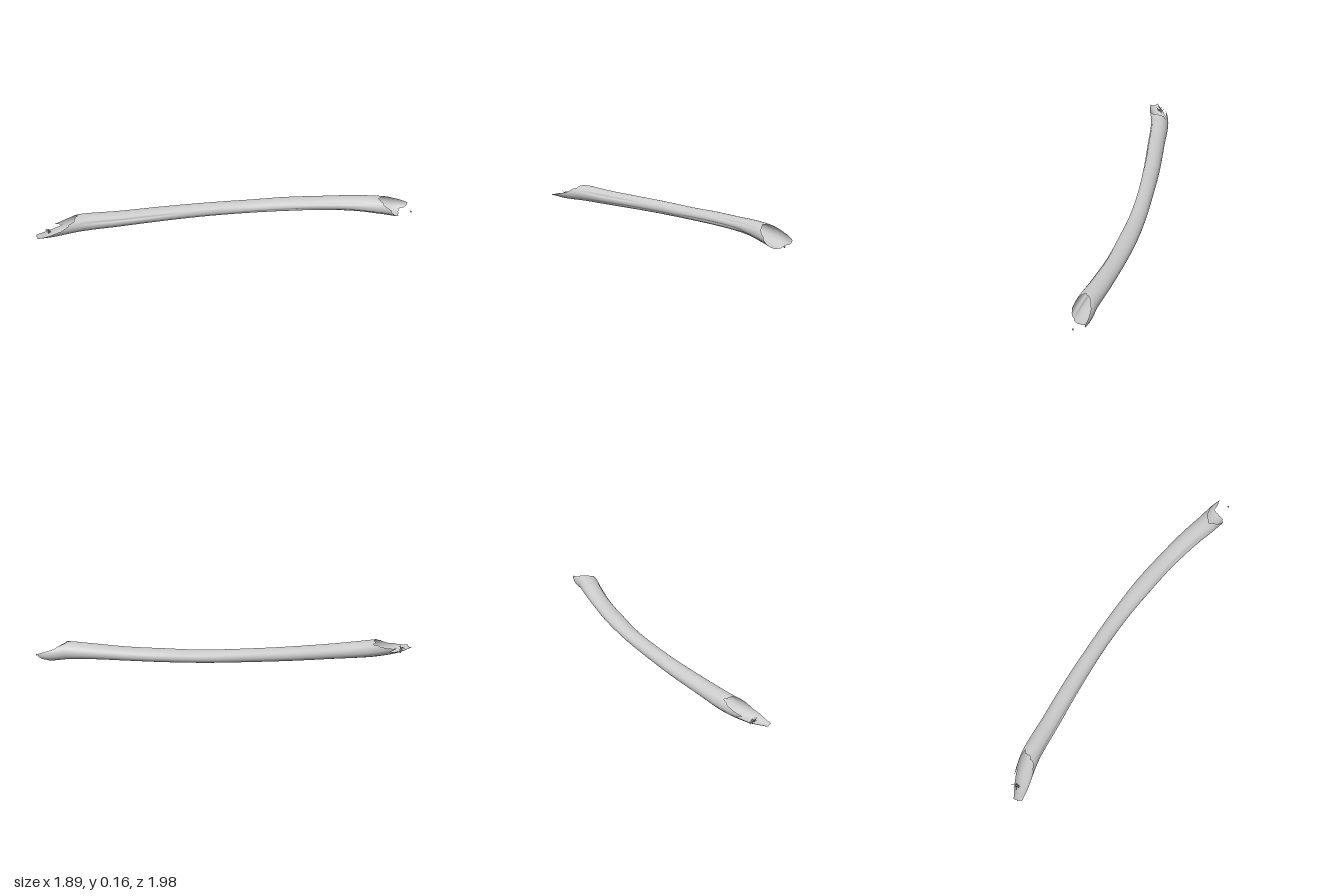
import * as THREE from 'three';

// stations along the shaft: x, z, half width, lowest y, highest y
const stations = [
  [-0.915, 0.98, 0.042, 0.02, 0.1], [-0.865, 0.85, 0.06, 0.004, 0.115],
  [-0.785, 0.695, 0.066, 0.005, 0.125], [-0.6, 0.46, 0.063, 0.012, 0.117],
  [-0.4, 0.21, 0.06, 0.02, 0.117], [-0.2, -0.02, 0.056, 0.028, 0.12],
  [0, -0.23, 0.058, 0.035, 0.122], [0.2, -0.415, 0.064, 0.045, 0.135],
  [0.4, -0.58, 0.064, 0.053, 0.145], [0.6, -0.725, 0.069, 0.055, 0.16],
  [0.755, -0.825, 0.073, 0.043, 0.166], [0.845, -0.89, 0.077, 0.03, 0.152],
  [0.915, -0.925, 0.08, 0.03, 0.15],
];
const LAST = stations.length - 1;
const axis = new THREE.CatmullRomCurve3(stations.map(([x, z]) => new THREE.Vector3(x, 0, z)));
const sizes = new THREE.CatmullRomCurve3(stations.map(([, , w, lo, hi]) => new THREE.Vector3(w, lo, hi)));

// station at which each broken end stops, every 22.5 degrees: front, top, back, bottom
const nearCut = [1.1, 1.45, 1.7, 1.85, 1.92, 2, 2, 1.8, 1.15, 1.45, 0.1, 0, 0.05, 0, 0.1, 0.5];
const farCut = [10.7, 10.35, 10.1, 9.95, 9.95, 10.2, 10.6, 11.3, 12, 11.8, 11.25, 11.2, 11.3, 11.25, 11.05, 10.85];

// shallow lengthwise grooves: angle, first station, last station, depth
const grooves = [
  [0.35, 1.8, 4.4, 0.006], [-0.35, 5.6, 9.2, 0.006], [-0.75, 8.2, 11.2, 0.007],
  [-0.6, 2.2, 6, 0.004], [0.5, 7, 9.8, 0.004],
];

function cutAt(table, angle) {
  const f = angle / (Math.PI * 2) * table.length;
  const i = Math.floor(f);
  return THREE.MathUtils.lerp(table[i % table.length], table[(i + 1) % table.length], f - i);
}

function grooveDepth(angle, s) {
  let depth = 0;
  for (const [a, s0, s1, d] of grooves) {
    if (s <= s0 || s >= s1) continue;
    const off = Math.atan2(Math.sin(angle - a), Math.cos(angle - a)) / 0.13;
    depth += d * Math.exp(-off * off) * Math.sin(Math.PI * (s - s0) / (s1 - s0));
  }
  return depth;
}

function surfacePoint(angle, s) {
  const t = THREE.MathUtils.clamp(s / LAST, 0, 1);
  const c = axis.getPoint(t), dir = axis.getTangent(t), size = sizes.getPoint(t);
  const dent = grooveDepth(angle, s);
  const side = (size.x - dent) * Math.cos(angle);
  const up = ((size.z - size.y) / 2 - dent) * Math.sin(angle);
  return [c.x - dir.z * side, (size.y + size.z) / 2 + up, c.z + dir.x * side];
}

function shaftGeometry(rows = 130, cols = 64) {
  const positions = [], index = [];
  for (let r = 0; r <= rows; r++) {
    for (let k = 0; k < cols; k++) {
      const a = k / cols * Math.PI * 2;
      const chip = 0.04 * Math.sin(a * 9) + 0.03 * Math.sin(a * 17 + 1);
      const s = THREE.MathUtils.lerp(cutAt(nearCut, a) + chip, cutAt(farCut, a) + chip, r / rows);
      positions.push(...surfacePoint(a, s));
      if (r === rows) continue;
      const p = r * cols + k, q = r * cols + (k + 1) % cols;
      index.push(p, p + cols, q, q, p + cols, q + cols);
    }
  }
  const g = new THREE.BufferGeometry();
  g.setAttribute('position', new THREE.Float32BufferAttribute(positions, 3));
  g.setIndex(index);
  g.computeVertexNormals();
  return g;
}

export function createModel() {
  const group = new THREE.Group();
  group.name = 'curvedBoneShaft';
  const material = new THREE.MeshStandardMaterial({ color: 0xcccccc, side: THREE.DoubleSide });

  // hollow shaft with broken, scooped ends
  const shaft = new THREE.Mesh(shaftGeometry(), material);
  shaft.name = 'shaft';
  group.add(shaft);

  // thin splinters inside the near end
  const splinters = new THREE.Group();
  splinters.name = 'splinters';
  for (let i = 0; i < 6; i++) {
    const m = new THREE.Mesh(new THREE.ConeGeometry(0.005, 0.045, 5), material);
    m.name = 'splinter';
    m.position.set(-0.925 + 0.007 * i, 0.032 + 0.006 * (i % 3), 0.865 + 0.012 * (i % 3));
    m.rotation.set(0.5 * (i % 3) - 0.4, i * 0.7, 1.3 - 0.15 * i);
    splinters.add(m);
  }
  group.add(splinters);

  // loose chip beyond the far end
  const chip = new THREE.Mesh(new THREE.IcosahedronGeometry(0.007, 0), material);
  chip.name = 'looseChip';
  chip.position.set(0.938, 0.06, -0.95);
  group.add(chip);
  return group;
}
